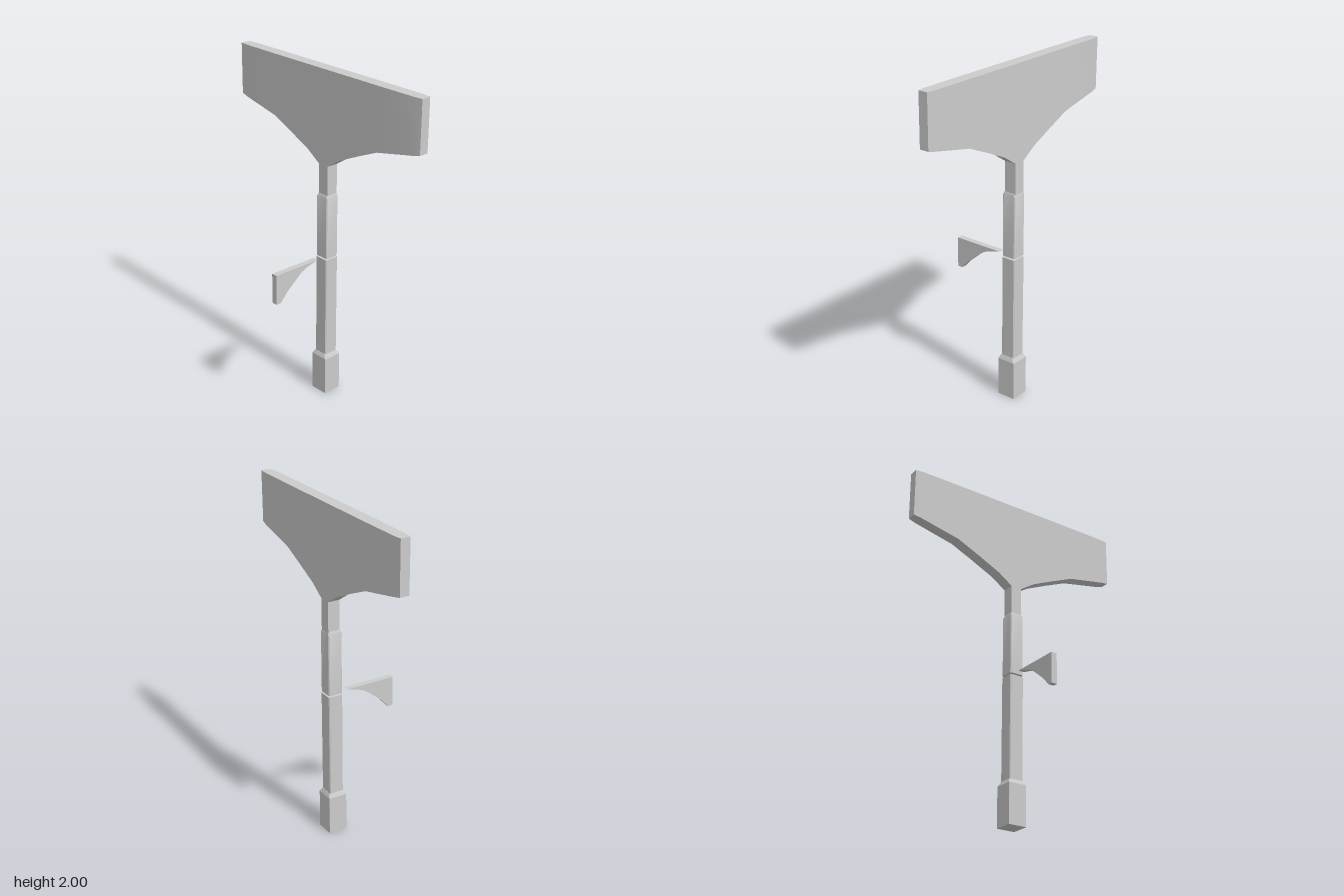
import * as THREE from 'three';
import { toCreasedNormals } from 'three/addons/utils/BufferGeometryUtils.js';

const material = new THREE.MeshStandardMaterial({ color: 0xcccccc });
const POST_X = 0.168;

// Skin a list of equal-length convex rings (counter-clockwise seen from the end) and cap both ends
function loft(rings, crease = 0.4) {
  const pos = [];
  const tri = (...pts) => pts.forEach((p) => pos.push(...p));
  const n = rings[0].length;
  for (let r = 0; r < rings.length - 1; r++) {
    for (let i = 0; i < n; i++) {
      const j = (i + 1) % n;
      const [a, b, c, d] = [rings[r][i], rings[r][j], rings[r + 1][j], rings[r + 1][i]];
      tri(a, b, c);
      tri(a, c, d);
    }
  }
  const first = rings[0], last = rings[rings.length - 1];
  for (let i = 1; i < n - 1; i++) {
    tri(first[0], first[i + 1], first[i]);
    tri(last[0], last[i], last[i + 1]);
  }
  const geometry = new THREE.BufferGeometry();
  geometry.setAttribute('position', new THREE.Float32BufferAttribute(pos, 3));
  return toCreasedNormals(geometry, crease);
}

// Square ring at height y with half-width h and corners cut by c
function squareRing([y, h, c]) {
  const k = h - c;
  return [[h, k], [k, h], [-k, h], [-h, k], [-h, -k], [-k, -h], [k, -h], [h, -k]]
    .map(([x, z]) => [POST_X + x, y, -z]);
}

// Head cross-section at depth z: half thickness h, underside height bottom
function headRing([z, h, bottom]) {
  return [[h, bottom], [h, 2], [-h, 2], [-h, bottom]].map(([x, y]) => [0.171 + x, y, z]);
}

export function createModel() {
  const group = new THREE.Group();
  const add = (name, geometry) => {
    const mesh = new THREE.Mesh(geometry, material);
    mesh.name = name;
    group.add(mesh);
    return mesh;
  };

  // Square post: foot, lower shaft and upper shaft with a narrow gap between the shafts
  const post = {
    foot: [[0, 0.057, 0.001], [0.235, 0.057, 0.001], [0.25, 0.05, 0.008], [0.26, 0.045, 0.008]],
    lowerShaft: [[0.24, 0.044, 0.005], [0.88, 0.044, 0.005]],
    upperShaft: [[0.89, 0.043, 0.005], [1.258, 0.043, 0.005], [1.275, 0.036, 0.005]],
  };
  for (const [name, sections] of Object.entries(post)) add(name, loft(sections.map(squareRing)));

  // Wide head: thinned ends, sweeping underside, narrow stem in the middle
  const half = [
    [0.707, 0.028, 1.7], [0.66, 0.034, 1.69], [0.41, 0.036, 1.638], [0.27, 0.036, 1.577],
    [0.125, 0.036, 1.51], [0.035, 0.036, 1.45], [0.035, 0.036, 1.265],
  ];
  const sections = [...half.map(([z, h, b]) => [-z, h, b]), ...half.slice().reverse()];
  add('headAndStem', loft(sections.map(headRing)));

  // Detached curved bracket beside the post
  const shape = new THREE.Shape();
  shape.moveTo(0.083, 0.89);
  shape.lineTo(-0.228, 0.89);
  shape.lineTo(-0.228, 0.709);
  shape.lineTo(-0.197, 0.709);
  for (const [x, y] of [[-0.155, 0.757], [-0.09, 0.812], [-0.04, 0.85], [0, 0.868]]) shape.lineTo(x, y);
  shape.closePath();
  const bracket = new THREE.ExtrudeGeometry(shape, { depth: 0.036, bevelEnabled: false });
  add('sideBracket', toCreasedNormals(bracket, 0.4)).position.z = -0.02;

  return group;
}
